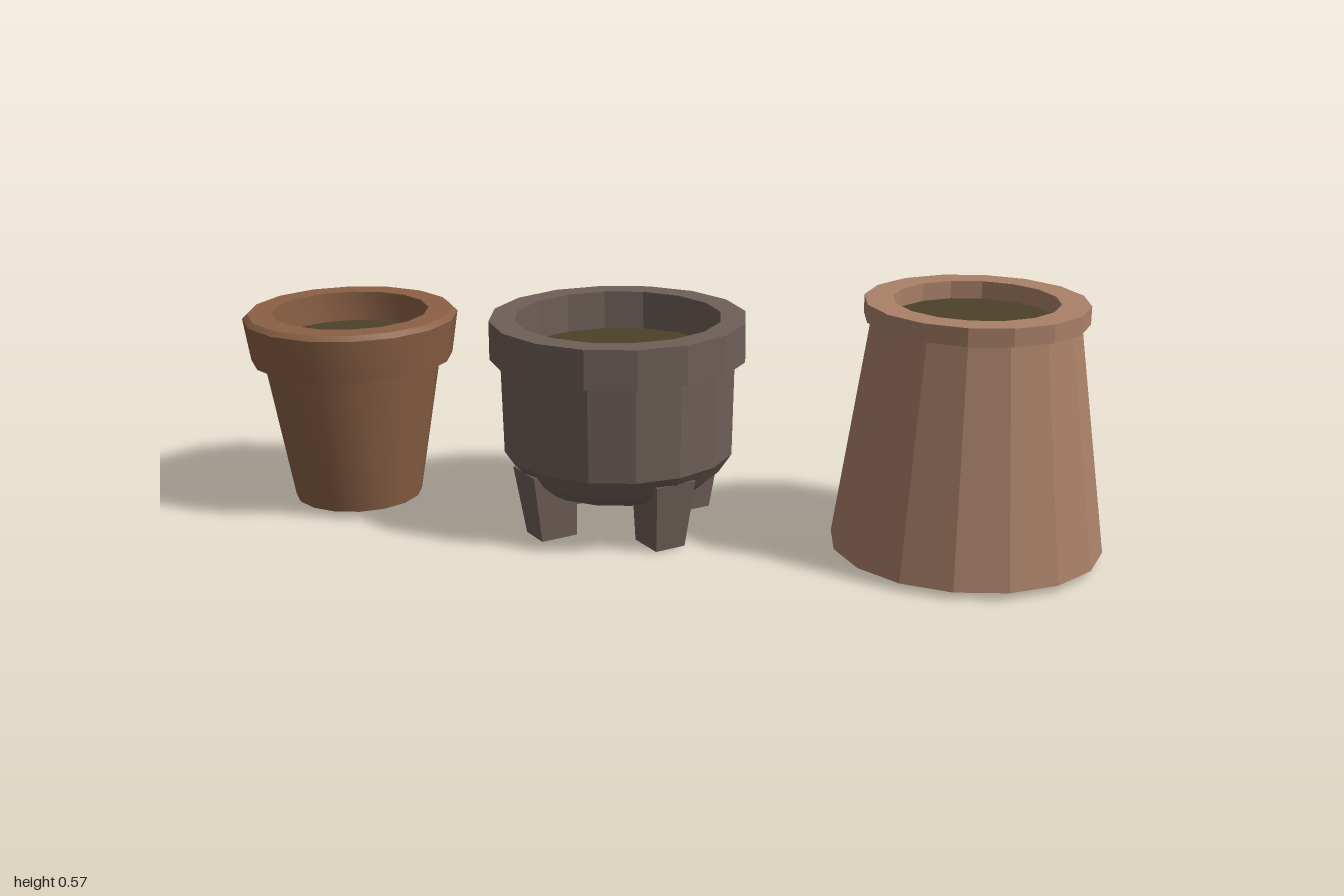
import * as THREE from 'three';
import { toCreasedNormals } from 'three/addons/utils/BufferGeometryUtils.js';

const SIDES = 16;

function paint(color, flatShading) {
  return new THREE.MeshStandardMaterial({ color, flatShading });
}

// Turned shell: profile runs from the base centre, up the outside, over the rim and down to the soil
function shell(name, profile, material) {
  const points = profile.map(([r, y]) => new THREE.Vector2(r, y));
  const lathe = new THREE.LatheGeometry(points, SIDES);
  const mesh = new THREE.Mesh(toCreasedNormals(lathe, 0.6), material);
  mesh.name = name;
  return mesh;
}

function soil(radius, y) {
  const disc = new THREE.CircleGeometry(radius, SIDES).rotateX(-Math.PI / 2);
  const mesh = new THREE.Mesh(disc, paint(0x4d4229, true));
  mesh.name = 'soil';
  mesh.position.y = y;
  return mesh;
}

function pot(name, x, parts) {
  const group = new THREE.Group();
  group.name = name;
  group.position.x = x;
  group.add(...parts);
  return group;
}

// Foot that widens and leans outward towards its top
function legGeometry() {
  const geometry = new THREE.BoxGeometry(1, 0.16, 1).translate(0, 0.08, 0);
  const p = geometry.attributes.position;
  for (let i = 0; i < p.count; i++) {
    const top = p.getY(i) > 0.08;
    p.setX(i, p.getX(i) * (top ? 0.1 : 0.075));
    p.setZ(i, p.getZ(i) * (top ? 0.11 : 0.09) + (top ? 0.195 : 0.18));
  }
  geometry.computeVertexNormals();
  return geometry;
}

export function createModel() {
  const model = new THREE.Group();
  model.name = 'plantPots';

  // Classic smooth pot with a flared, bevelled collar
  model.add(pot('classicPot', -0.75, [
    shell('classicShell', [
      [0, 0.016], [0.15, 0.016], [0.207, 0.355], [0.235, 0.355], [0.25, 0.455],
      [0.238, 0.466], [0.182, 0.466], [0.18, 0.39],
    ], paint(0x8a6045, false)),
    soil(0.181, 0.395),
  ]));

  // Round-bottomed pot standing on four feet
  const stone = paint(0x6f5f58, true);
  const footed = pot('footedPot', -0.1, [
    shell('footedShell', [
      [0, 0.105], [0.2, 0.105], [0.235, 0.135], [0.265, 0.18], [0.27, 0.4],
      [0.294, 0.4], [0.294, 0.49], [0.236, 0.49], [0.236, 0.39],
    ], stone),
    soil(0.236, 0.4),
  ]);
  const foot = legGeometry();
  for (let i = 0; i < 4; i++) {
    const leg = new THREE.Mesh(foot, stone);
    leg.name = 'leg';
    leg.rotation.y = Math.PI / 4 + i * Math.PI / 2;
    footed.add(leg);
  }
  model.add(footed);

  // Tall pot narrowing to a banded rim
  model.add(pot('tallPot', 0.7, [
    shell('tallShell', [
      [0, 0.016], [0.302, 0.016], [0.225, 0.533], [0.243, 0.533], [0.243, 0.573],
      [0.18, 0.573], [0.18, 0.525],
    ], paint(0xa98068, true)),
    soil(0.18, 0.533),
  ]));

  return model;
}
